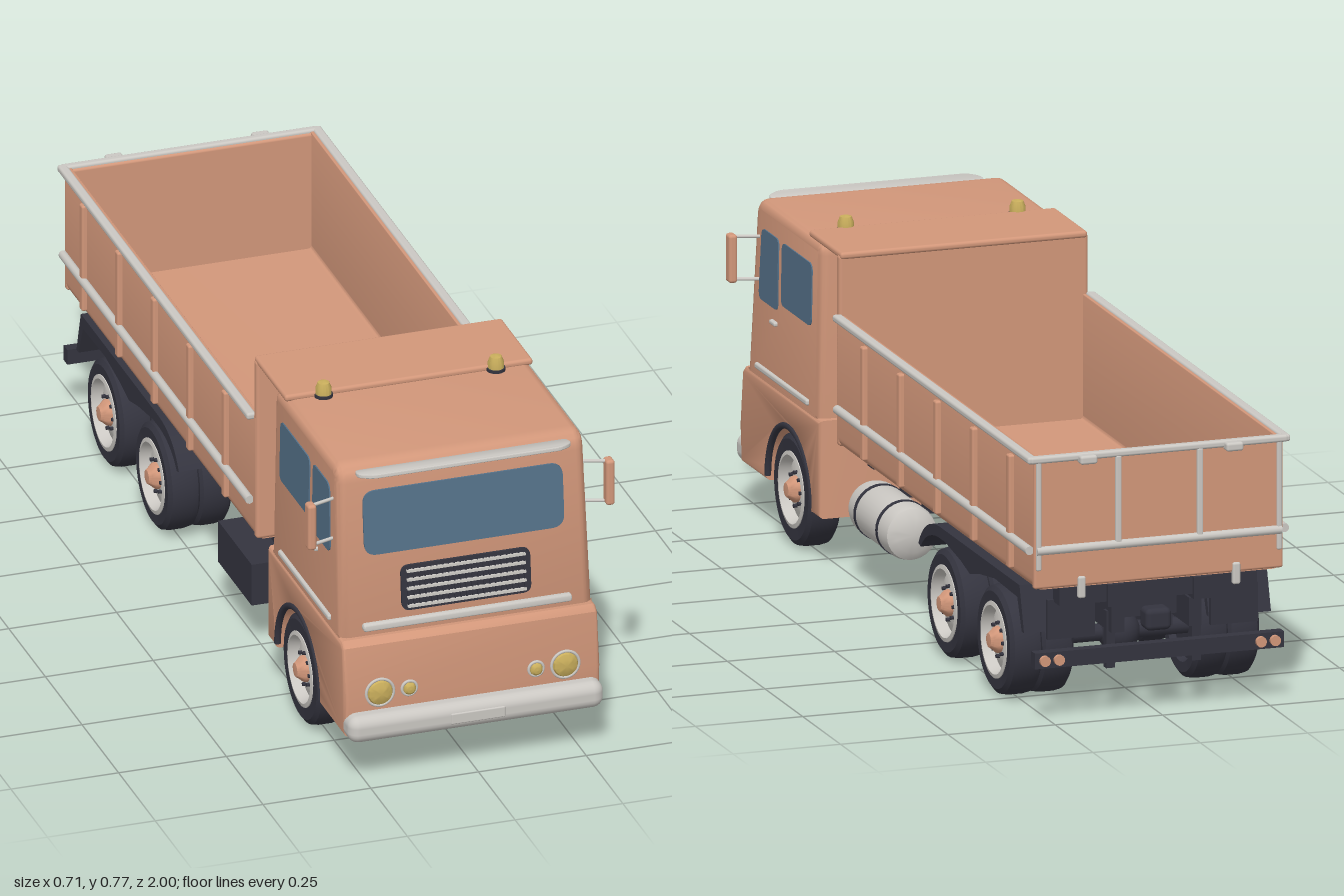
import * as THREE from 'three';
import { toCreasedNormals } from 'three/addons/utils/BufferGeometryUtils.js';
import { RoundedBoxGeometry } from 'three/addons/geometries/RoundedBoxGeometry.js';

const paint = (name, color) => Object.assign(new THREE.MeshStandardMaterial({ color }), { name });
const V = (x, y) => new THREE.Vector2(x, y);

// polygon with rounded corners; each point is [x, y, radius]
function roundedShape(pts) {
  const s = new THREE.Shape();
  pts.forEach(([x, y, r], i) => {
    const p = V(x, y), n = pts.length;
    const a = V(...pts[(i + n - 1) % n]), b = V(...pts[(i + 1) % n]);
    const p0 = p.clone().add(a.sub(p).setLength(r)), p1 = p.clone().add(b.sub(p).setLength(r));
    if (i) s.lineTo(p0.x, p0.y); else s.moveTo(p0.x, p0.y);
    s.quadraticCurveTo(x, y, p1.x, p1.y);
  });
  s.closePath();
  return s;
}
const rect = (x0, y0, x1, y1, r) => roundedShape([[x0, y0, r], [x1, y0, r], [x1, y1, r], [x0, y1, r]]);

function extrude(shape, depth, bevel = 0) {
  const g = new THREE.ExtrudeGeometry(shape, {
    depth: depth - 2 * bevel, curveSegments: 8, bevelEnabled: bevel > 0,
    bevelThickness: bevel, bevelSize: bevel, bevelOffset: -bevel, bevelSegments: 4 });
  return toCreasedNormals(g.translate(0, 0, bevel - depth / 2), 0.6);
}
// side profile drawn as (z, y), extruded across x
const across = (shape, width, bevel) => extrude(shape, width, bevel).rotateY(-Math.PI / 2);
const lathe = (pts, n = 32) => toCreasedNormals(new THREE.LatheGeometry(pts.map(p => V(...p)), n), 0.6);

function bend(geo, rule) {
  const p = geo.attributes.position, v = new THREE.Vector3();
  for (let i = 0; i < p.count; i++) {
    rule(v.fromBufferAttribute(p, i));
    p.setXYZ(i, v.x, v.y, v.z);
  }
  return toCreasedNormals(geo, 0.6);
}
const taper = g => bend(g, v => { v.x *= 1 - 0.06 * Math.max(0, v.y - 0.335); });
const onFront = g => bend(g, v => { v.z += 0.92 - (v.y - 0.335) * 0.1; });

export function createModel() {
  const body = paint('body paint', 0xd2977a), dark = paint('dark chassis', 0x34343f);
  const metal = paint('pale metal', 0xcbc8c3), glass = paint('blue glass', 0x557189), lamp = paint('amber lamp', 0xc9ae5c);
  const truck = new THREE.Group();
  truck.name = 'dumpTruck';
  const add = (name, geo, mat, x = 0, y = 0, z = 0, parent = truck) => {
    const m = new THREE.Mesh(geo, mat);
    m.name = name;
    m.position.set(x, y, z);
    parent.add(m);
    return m;
  };
  const box = (name, mat, w, h, d, x, y, z) => add(name, new THREE.BoxGeometry(w, h, d), mat, x, y, z);
  const soft = (name, mat, w, h, d, x, y, z, r) => add(name, new RoundedBoxGeometry(w, h, d, 3, r), mat, x, y, z);
  const rod = (name, mat, r, a, b) => {
    const p = new THREE.Vector3(...a), q = new THREE.Vector3(...b);
    const m = add(name, new THREE.CylinderGeometry(r, r, p.distanceTo(q), 12), mat);
    m.position.copy(p).lerp(q, 0.5);
    m.quaternion.setFromUnitVectors(new THREE.Vector3(0, 1, 0), q.sub(p).normalize());
    return m;
  };
  const sides = [1, -1];

  // cab: tapered upper shell over a wider base with wheel arches
  add('cabUpper', taper(across(roundedShape([[0.447, 0.32, 0.01], [0.9215, 0.32, 0.01], [0.88, 0.737, 0.04], [0.447, 0.737, 0.03]]), 0.586, 0.022)), body);
  const base = new THREE.Shape();
  base.moveTo(0.43, 0.115);
  base.lineTo(0.491, 0.115);
  base.absarc(0.636, 0.127, 0.145, Math.PI + 0.08, -0.08, true);
  base.lineTo(0.955, 0.115);
  base.lineTo(0.962, 0.2);
  base.lineTo(0.945, 0.325);
  base.lineTo(0.93, 0.338);
  base.lineTo(0.43, 0.338);
  base.closePath();
  add('cabBase', across(base, 0.592, 0.01), body);
  box('engine', dark, 0.3, 0.17, 0.36, 0, 0.2, 0.64);

  // windscreen, grille and front trim
  add('windscreen', onFront(extrude(rect(-0.232, 0.525, 0.232, 0.675, 0.03), 0.009)), glass);
  add('grille', onFront(extrude(rect(-0.15, 0.385, 0.15, 0.49, 0.02), 0.012)), dark);
  for (let i = 0; i < 5; i++) {
    const y = 0.396 + i * 0.0205;
    add('grilleBar', onFront(extrude(rect(-0.138, y - 0.003, 0.138, y + 0.003, 0.002), 0.024)), metal);
  }
  for (let i = -10; i <= 10; i++)
    add('grilleSlat', onFront(extrude(rect(i * 0.0135 - 0.0015, 0.392, i * 0.0135 + 0.0015, 0.483, 0.001), 0.018)), dark);
  add('frontTrim', onFront(extrude(rect(-0.242, 0.351, 0.242, 0.368, 0.007), 0.026, 0.005)), metal);
  const visor = add('sunVisor', extrude(roundedShape([[-0.245, 0, 0.01], [0.245, 0, 0.01], [0.25, 0.03, 0.015], [0.22, 0.052, 0.015], [-0.22, 0.052, 0.015], [-0.25, 0.03, 0.015]]), 0.01, 0.003), metal, 0, 0.708, 0.876);
  visor.rotation.x = Math.PI / 2 - 0.15;
  visor.position.y = 0.72;

  // bumper with blank plate
  soft('bumper', metal, 0.592, 0.064, 0.072, 0, 0.142, 0.962, 0.025);
  soft('bumperPlate', metal, 0.126, 0.026, 0.008, 0, 0.142, 0.996, 0.003);

  // items mirrored on both sides of the cab
  const lampGeo = r => lathe([[r, 0], [r * 0.85, 0.009], [r * 0.5, 0.014], [0, 0.016]]).rotateX(Math.PI / 2);
  const beaconGeo = lathe([[0.018, 0], [0.018, 0.02], [0.013, 0.033], [0, 0.037]], 16);
  for (const s of sides) {
    for (const [x, r] of [[0.215, 0.031], [0.147, 0.016]]) {
      add('headlamp', lampGeo(r), lamp, s * x, 0.215, 0.957);
      add('lampRim', new THREE.TorusGeometry(r + 0.001, 0.0035, 8, 28), metal, s * x, 0.215, 0.96);
    }
    add('beacon', beaconGeo, lamp, s * 0.2, 0.738, 0.53);
    add('beaconBase', new THREE.CylinderGeometry(0.021, 0.021, 0.012, 16), dark, s * 0.2, 0.738, 0.53);

    const plate = shape => taper(across(shape, 0.008).translate(s * 0.292, 0, 0));
    add('doorWindow', plate(roundedShape([[0.722, 0.515, 0.015], [0.845, 0.515, 0.02], [0.832, 0.677, 0.02], [0.722, 0.677, 0.015]])), glass);
    add('rearWindow', plate(rect(0.5, 0.535, 0.698, 0.677, 0.018)), glass);
    soft('sideTrim', metal, 0.012, 0.014, 0.345, s * 0.294, 0.36, 0.682, 0.005);
    soft('doorHandle', metal, 0.014, 0.01, 0.035, s * 0.292, 0.483, 0.742, 0.004);
    const arch = add('wheelArchTrim', new THREE.TorusGeometry(0.146, 0.008, 8, 32, Math.PI), dark, s * 0.293, 0.127, 0.636);
    arch.rotation.y = Math.PI / 2;

    // mirrors
    for (const y of [0.555, 0.652]) rod('mirrorArm', metal, 0.004, [s * 0.28, y, 0.85], [s * 0.346, y, 0.872]);
    soft('mirror', body, 0.02, 0.11, 0.03, s * 0.346, 0.603, 0.872, 0.007);
  }

  // load bed: U-shaped tub, headboard with canopy, tailgate
  const tub = roundedShape([[-0.29, 0.605, 0.002], [-0.29, 0.305, 0.025], [0.29, 0.305, 0.025], [0.29, 0.605, 0.002],
    [0.277, 0.605, 0.002], [0.277, 0.322, 0.008], [-0.277, 0.322, 0.008], [-0.277, 0.605, 0.002]]);
  add('bedTub', extrude(tub, 1.3), body, 0, 0, -0.318);
  soft('headboard', body, 0.58, 0.435, 0.022, 0, 0.525, 0.327, 0.008);
  soft('canopy', body, 0.575, 0.016, 0.215, 0, 0.741, 0.42, 0.007);
  soft('tailgate', body, 0.58, 0.295, 0.018, 0, 0.455, -0.966, 0.006);
  for (const s of sides) {
    soft('topRail', metal, 0.022, 0.016, 1.3, s * 0.295, 0.602, -0.33, 0.006);
    rod('sideRail', metal, 0.01, [s * 0.297, 0.395, 0.312], [s * 0.297, 0.395, -0.965]);
    for (let i = 0; i < 5; i++) soft('sideRib', body, 0.018, 0.258, 0.022, s * 0.293, 0.452, 0.14 - i * 0.2425, 0.005);
    soft('tailgateBar', metal, 0.014, 0.2, 0.014, s * 0.095, 0.498, -0.975, 0.004);
    soft('tailgatePost', metal, 0.012, 0.25, 0.012, s * 0.28, 0.475, -0.974, 0.004);
    soft('tailgateHinge', metal, 0.04, 0.02, 0.03, s * 0.17, 0.598, -0.985, 0.006);
    soft('tailgateLatch', metal, 0.018, 0.05, 0.018, s * 0.18, 0.305, -0.972, 0.005);
  }
  soft('rearTopRail', metal, 0.6, 0.016, 0.02, 0, 0.602, -0.972, 0.006);
  rod('tailgateRail', metal, 0.01, [-0.285, 0.395, -0.975], [0.285, 0.395, -0.975]);

  // chassis rails, subframe and cross members
  for (const s of sides) {
    box('chassisRail', dark, 0.03, 0.065, 1.5, s * 0.09, 0.222, -0.21);
    box('subframeRail', dark, 0.04, 0.05, 1.34, s * 0.1, 0.28, -0.31);
  }
  for (const z of [0.38, 0.12, -0.15, -0.54, -0.86]) box('crossMember', dark, 0.18, 0.045, 0.035, 0, 0.222, z);
  for (const z of [0.28, -0.1, -0.95]) box('subframeBeam', dark, 0.46, 0.04, 0.04, 0, 0.285, z);

  // rear fenders, mud flaps and light beam
  const fender = new THREE.Shape();
  fender.moveTo(-0.2, 0.22);
  fender.quadraticCurveTo(-0.24, 0.29, -0.34, 0.292);
  for (const [z, y] of [[-0.87, 0.292], [-0.9, 0.19], [-0.885, 0.19], [-0.855, 0.262], [-0.706, 0.266], [-0.6, 0.25],
    [-0.54, 0.235], [-0.48, 0.25], [-0.377, 0.266], [-0.33, 0.266]]) fender.lineTo(z, y);
  fender.quadraticCurveTo(-0.25, 0.26, -0.215, 0.215);
  fender.closePath();
  const fenderGeo = across(fender, 0.145);
  for (const s of sides) {
    add('rearFender', fenderGeo, dark, s * 0.215, 0, 0);
    box('mudFlap', dark, 0.11, 0.09, 0.01, s * 0.19, 0.225, -0.93);
    box('beamBracket', dark, 0.02, 0.13, 0.02, s * 0.1, 0.17, -0.93);
    for (const x of [0.235, 0.268]) {
      const l = add('tailLamp', new THREE.CylinderGeometry(0.012, 0.012, 0.012, 16), body, s * x, 0.146, -0.983);
      l.rotation.x = Math.PI / 2;
    }
  }
  box('rearBeam', dark, 0.58, 0.036, 0.025, 0, 0.146, -0.967);
  soft('towHitch', dark, 0.06, 0.05, 0.05, 0, 0.215, -0.955, 0.012);

  // fuel tank, battery box and exhaust stack
  const tank = add('fuelTank', lathe([[0, -0.142], [0.04, -0.14], [0.058, -0.128], [0.062, -0.11], [0.062, 0.11], [0.058, 0.128], [0.04, 0.14], [0, 0.142]]), metal, 0.215, 0.17, 0.177);
  tank.rotation.x = Math.PI / 2;
  for (const z of [0.25, 0.105]) {
    add('tankStrap', new THREE.CylinderGeometry(0.064, 0.064, 0.011, 32).rotateX(Math.PI / 2), dark, 0.215, 0.17, z);
    box('tankBracket', dark, 0.08, 0.03, 0.02, 0.13, 0.215, z);
  }
  box('batteryBox', dark, 0.14, 0.1, 0.23, -0.21, 0.165, 0.16);
  box('batteryBracket', dark, 0.08, 0.03, 0.16, -0.12, 0.215, 0.16);
  add('exhaustStack', lathe([[0, 0.25], [0.027, 0.25], [0.026, 0.32], [0.018, 0.52], [0.018, 0.555], [0.012, 0.56], [0, 0.555]], 20), metal, 0.18, 0, 0.39);

  // wheels and axles
  const tyreGeo = r => lathe([[0, -0.022], [0.08, -0.022], [0.086, -0.037], [r - 0.014, -0.038], [r - 0.003, -0.03], [r, -0.015],
    [r, 0.015], [r - 0.003, 0.03], [r - 0.014, 0.038], [0.086, 0.037], [0.078, 0.02]], 40).rotateZ(-Math.PI / 2);
  const rimGeo = lathe([[0.088, 0.025], [0.086, 0.039], [0.077, 0.041], [0.07, 0.016], [0.05, 0.022], [0.036, 0.026], [0, 0.026]], 40).rotateZ(-Math.PI / 2);
  const hubGeo = lathe([[0.031, 0.024], [0.029, 0.034], [0.02, 0.044], [0.016, 0.05], [0, 0.052]], 24).rotateZ(-Math.PI / 2);
  const boltGeo = new THREE.CylinderGeometry(0.0045, 0.0045, 0.014, 8).rotateZ(Math.PI / 2);
  for (const [z, r, dual] of [[0.636, 0.127, false], [-0.377, 0.123, true], [-0.706, 0.123, true]]) {
    for (const s of sides) {
      const w = new THREE.Group();
      w.name = dual ? 'rearWheel' : 'frontWheel';
      w.position.set(s * 0.252, r + 0.004, z);
      if (s < 0) w.rotation.y = Math.PI;
      truck.add(w);
      add('tyre', tyreGeo(r), dark, 0, 0, 0, w);
      if (dual) add('innerTyre', tyreGeo(r), dark, -0.072, 0, 0, w);
      add('rim', rimGeo, metal, 0, 0, 0, w);
      add('hub', hubGeo, body, 0, 0, 0, w);
      for (let i = 0; i < 8; i++) {
        const a = i * Math.PI / 4;
        add('wheelBolt', boltGeo, dark, 0.026, 0.038 * Math.sin(a), 0.038 * Math.cos(a), w);
      }
    }
    rod('axle', dark, 0.02, [-0.23, r, z], [0.23, r, z]);
    if (dual) {
      add('differential', new THREE.SphereGeometry(0.048, 20, 14), dark, 0, r, z);
      for (const s of sides) box('leafSpring', dark, 0.03, 0.06, 0.12, s * 0.09, 0.17, z);
    }
  }
  rod('driveShaft', dark, 0.014, [0, 0.19, 0.46], [0, 0.127, -0.7]);
  return truck;
}
